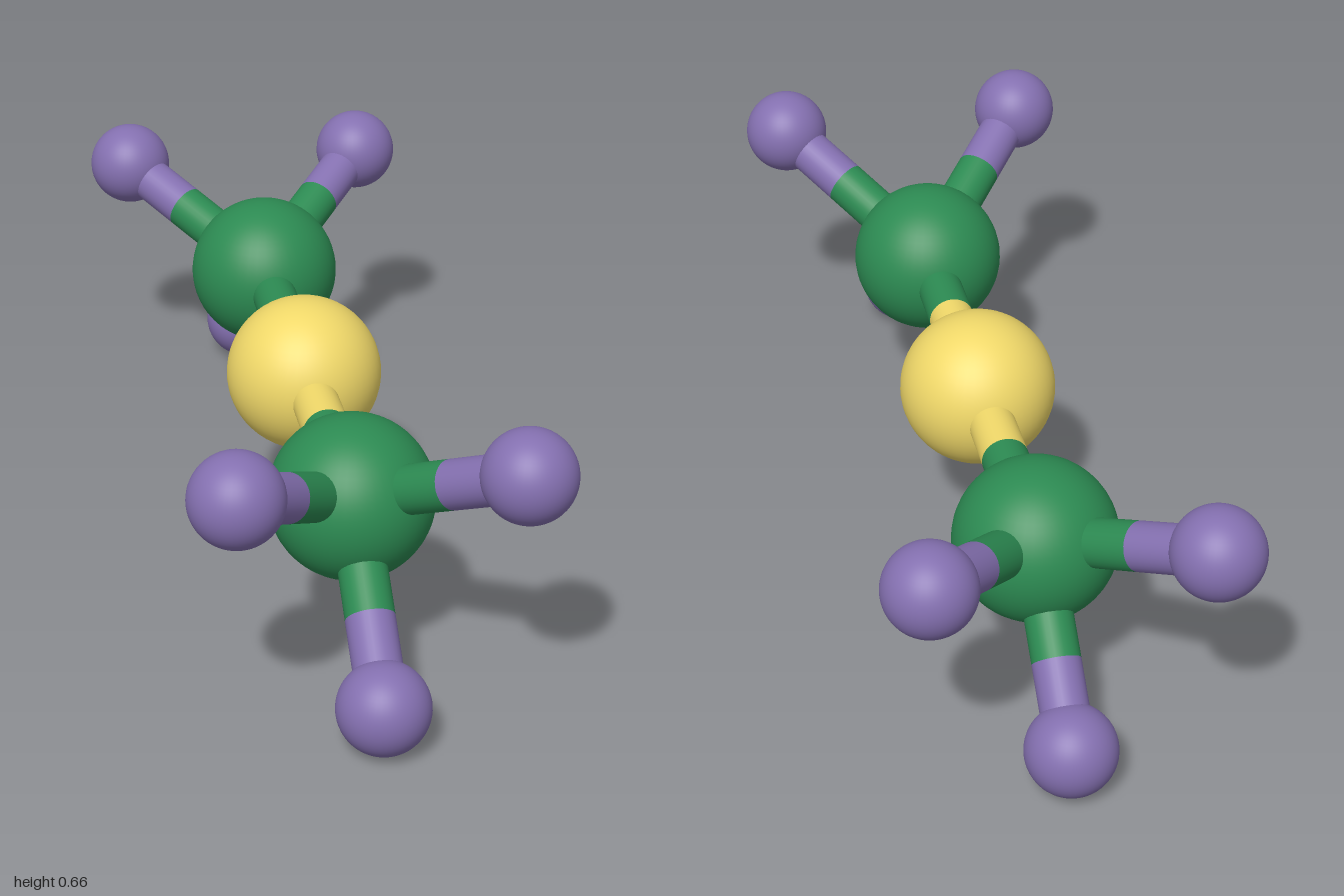
import * as THREE from 'three';

const material = (color) => new THREE.MeshStandardMaterial({ color });

export function createModel() {
  const model = new THREE.Group();
  const green = { radius: 0.169, material: material(0x2c8a52) };
  const yellow = { radius: 0.168, material: material(0xf0d869) };
  const purple = { radius: 0.094, material: material(0x8470b0) };

  function atom(name, kind, x, y, z) {
    const mesh = new THREE.Mesh(new THREE.SphereGeometry(kind.radius, 48, 32), kind.material);
    mesh.name = name;
    mesh.position.set(x, y, z);
    model.add(mesh);
    return { kind, position: mesh.position };
  }

  function rod(name, from, to, mat) {
    const dir = to.clone().sub(from);
    const mesh = new THREE.Mesh(new THREE.CylinderGeometry(0.05, 0.05, dir.length(), 32), mat);
    mesh.name = name;
    mesh.position.copy(from).lerp(to, 0.5);
    mesh.quaternion.setFromUnitVectors(new THREE.Vector3(0, 1, 0), dir.normalize());
    model.add(mesh);
  }

  // Two-coloured bond, changing colour midway between the two ball surfaces
  function bond(name, a, b) {
    const length = a.position.distanceTo(b.position);
    const t = 0.5 + (a.kind.radius - b.kind.radius) / (2 * length);
    const split = a.position.clone().lerp(b.position, t);
    rod(name + 'Inner', a.position, split, a.kind.material);
    rod(name + 'Outer', split, b.position, b.kind.material);
  }

  const centre = atom('centreBall', yellow, 0, 0.372, -0.014);

  // Each end: a hub ball with two raised side balls and one lower ball
  const ends = [
    { name: 'front', hubZ: 0.556, upperY: 0.562, upperZ: 0.88, lowerZ: 0.906 },
    { name: 'back', hubZ: -0.577, upperY: 0.531, upperZ: -0.903, lowerZ: -0.906 },
  ];
  for (const e of ends) {
    const hub = atom(e.name + 'Hub', green, 0, 0.371, e.hubZ);
    bond(e.name + 'AxisBond', centre, hub);
    const tips = [
      ['LeftTip', 0.277, e.upperY, e.upperZ],
      ['RightTip', -0.277, e.upperY, e.upperZ],
      ['LowerTip', 0, 0.095, e.lowerZ],
    ];
    for (const [name, x, y, z] of tips) {
      bond(e.name + name + 'Bond', hub, atom(e.name + name, purple, x, y, z));
    }
  }
  return model;
}
